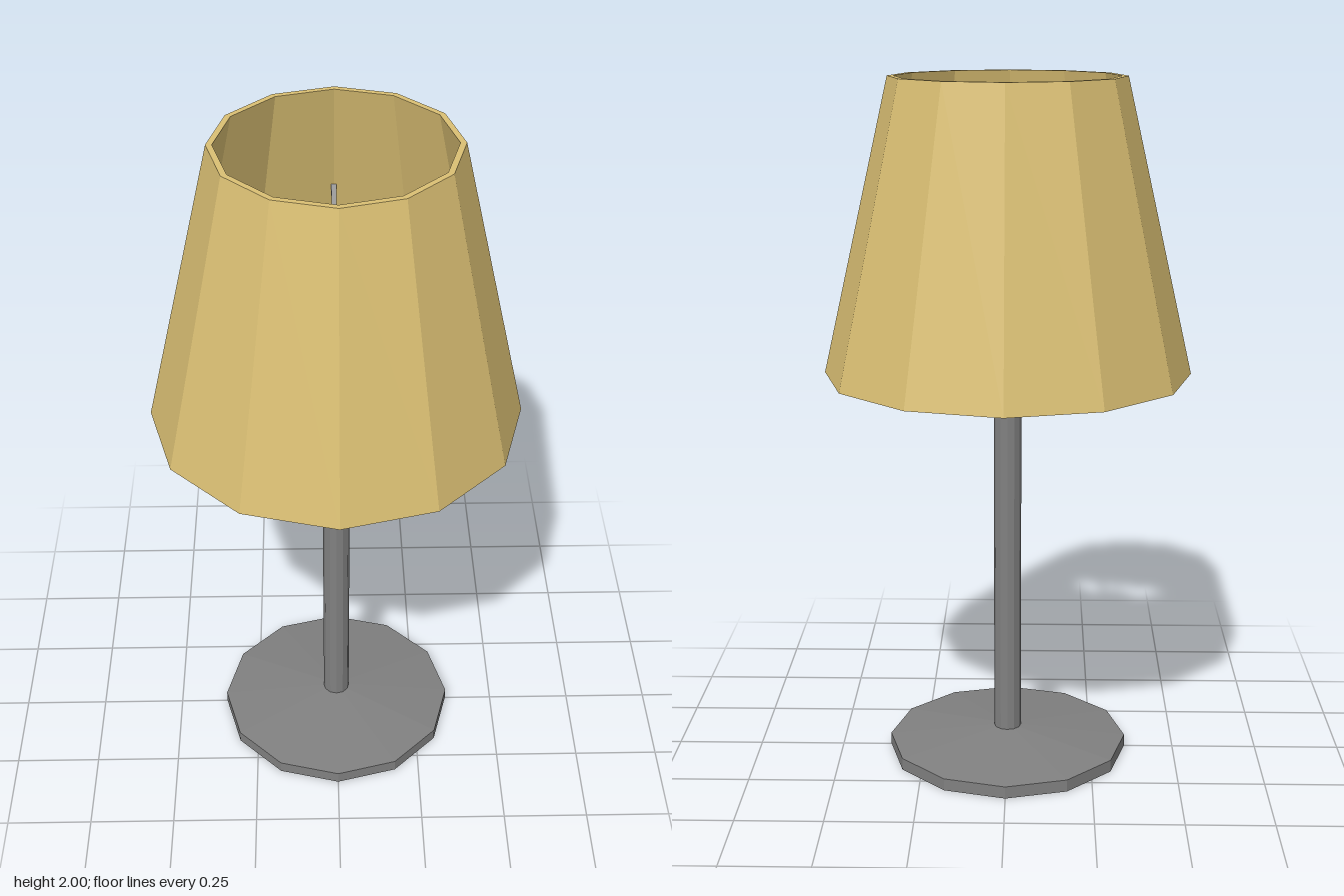
import * as THREE from 'three';

const material = (name, color) => {
  const m = new THREE.MeshStandardMaterial({ color, flatShading: true });
  m.name = name;
  return m;
};

export function createModel() {
  const lamp = new THREE.Group();
  lamp.name = 'tableLamp';
  const metal = material('grey metal', 0x808080);
  const fabric = material('tan fabric', 0xdabf73);
  const glass = material('pale bulb glass', 0xb2b2b2);

  const add = (name, geometry, mat) => {
    const mesh = new THREE.Mesh(geometry, mat);
    mesh.name = name;
    lamp.add(mesh);
    return mesh;
  };
  // Profiles are [radius, height] pairs, running up the outside
  const turned = (name, profile, sides, mat) =>
    add(name, new THREE.LatheGeometry(profile.map(([r, y]) => new THREE.Vector2(r, y)), sides), mat);

  // Foot with a shallow conical top, and the stem
  turned('base', [[0, 0], [0.354, 0], [0.354, 0.036], [0.04, 0.068], [0, 0.068]], 12, metal);
  turned('pole', [[0.04, 0.06], [0.04, 1.2]], 12, metal);

  // Socket with a chamfered lower edge
  turned('socket', [[0, 1.19], [0.066, 1.19], [0.088, 1.235], [0.088, 1.35], [0, 1.35]], 12, metal);

  // Pear-shaped bulb: flared neck running into a dome
  const R = 0.125, centre = 1.49;
  const bulbProfile = [[0.08, 1.345], [0.092, 1.38], [0.112, 1.43]];
  for (let i = 0; i <= 8; i++) {
    const a = (i / 8) * Math.PI / 2;
    bulbProfile.push([R * Math.cos(a), centre + R * Math.sin(a)]);
  }
  turned('bulb', bulbProfile, 20, glass);

  // Four sloping struts from the socket to the inside of the shade
  const from = new THREE.Vector2(0.08, 1.265), to = new THREE.Vector2(0.393, 1.67);
  const length = from.distanceTo(to);
  const slope = Math.atan2(to.x - from.x, to.y - from.y);
  for (let i = 0; i < 4; i++) {
    const g = new THREE.BoxGeometry(0.015, length, 0.015);
    g.rotateX(slope);
    g.translate(0, (from.y + to.y) / 2, (from.x + to.x) / 2);
    g.rotateY(i * Math.PI / 2);
    add('shadeStrut' + (i + 1), g, metal);
  }

  // Twelve-sided shade with a real wall thickness, open at both ends
  turned('shade', [[0.509, 1.162], [0.526, 1.162], [0.333, 2], [0.316, 2], [0.509, 1.162]], 12, fabric);

  return lamp;
}
